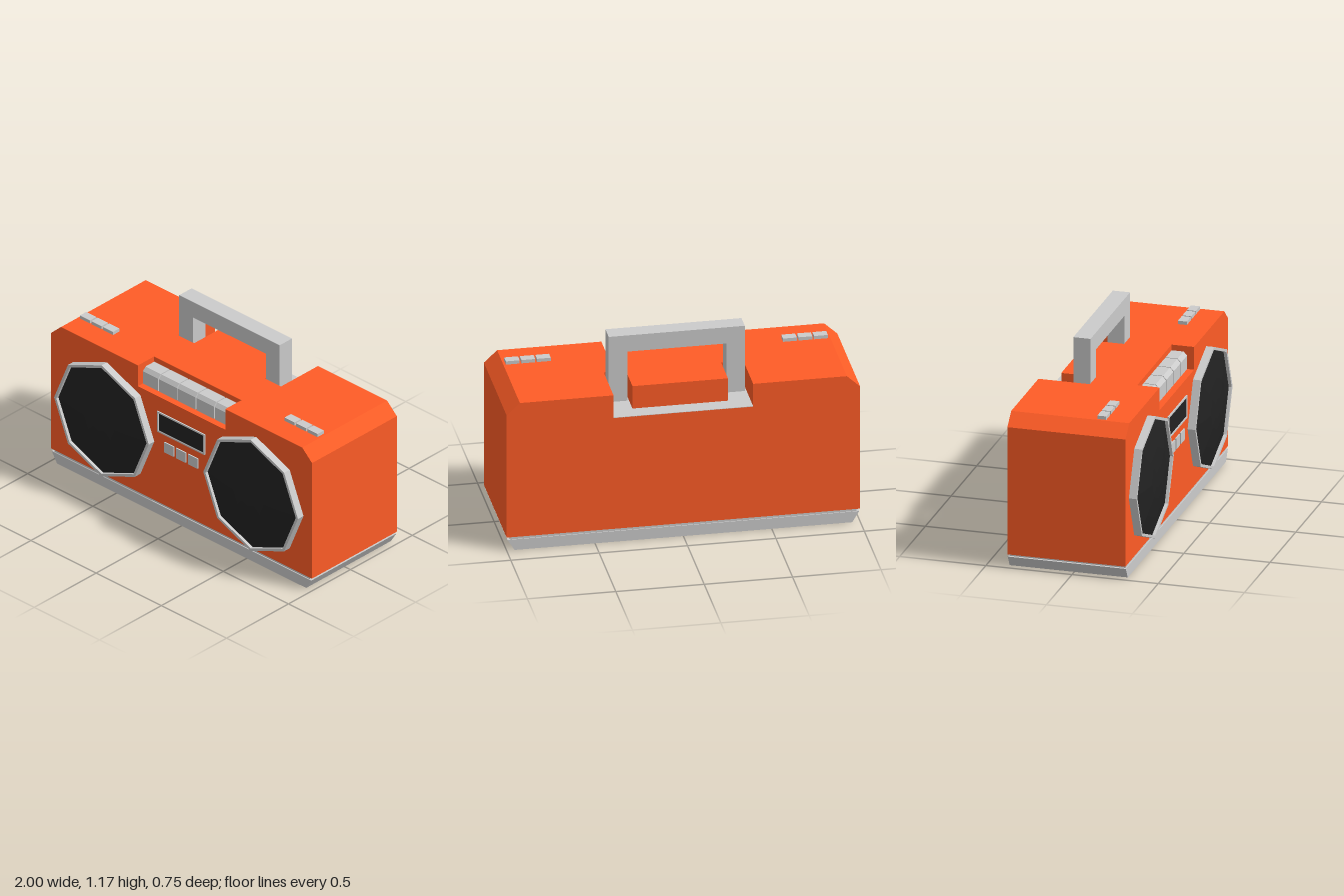
import * as THREE from 'three';

const material = (color) => new THREE.MeshStandardMaterial({ color, flatShading: true });
const orange = material(0xff5c26);
const grey = material(0xcccccc);
const dark = material(0x222222);

const TOP = 0.905, FRONT = 0.31, BACK = -0.375;
const POCKET_FLOOR = 0.765, POCKET_FRONT = -0.077, BLOCK_BACK = -0.28;

export function createModel() {
  const model = new THREE.Group();

  const add = (name, geometry, mat, parent = model) => {
    const mesh = new THREE.Mesh(geometry, mat);
    mesh.name = name;
    parent.add(mesh);
    return mesh;
  };
  const group = (name) => {
    const g = new THREE.Group();
    g.name = name;
    model.add(g);
    return g;
  };
  // Box given by its limits on each axis
  const box = (x0, x1, y0, y1, z0, z1) =>
    new THREE.BoxGeometry(x1 - x0, y1 - y0, z1 - z0)
      .translate((x0 + x1) / 2, (y0 + y1) / 2, (z0 + z1) / 2);
  // Front outline [x, y] extruded from z0 to z1
  const slab = (points, z0, z1) => {
    const shape = new THREE.Shape(points.map(([x, y]) => new THREE.Vector2(x, y)));
    return new THREE.ExtrudeGeometry(shape, { depth: z1 - z0, bevelEnabled: false }).translate(0, 0, z0);
  };
  // Outline mirrored across x = 0 from its right half, listed bottom to top
  const mirrored = (half) => [...half, ...half.map(([x, y]) => [-x, y]).reverse()];

  // Body: slices along z, each with its own cut in the top edge
  const body = group('body');
  const slice = (name, cut, z0, z1) =>
    add(name, slab(mirrored([[1, 0.08], [1, 0.835], [0.925, TOP], ...cut]), z0, z1), orange, body);
  slice('bodyRear', [[0.395, TOP], [0.395, POCKET_FLOOR]], BACK, BLOCK_BACK);
  slice('bodyHandleSlots',
    [[0.395, TOP], [0.395, POCKET_FLOOR], [0.27, POCKET_FLOOR], [0.27, TOP]], BLOCK_BACK, POCKET_FRONT);
  slice('bodyMiddle', [], POCKET_FRONT, 0.18);
  slice('bodyFront', [[0.335, TOP], [0.335, 0.77]], 0.18, FRONT);

  // Base: tapered foot with a narrow neck below the body
  add('base', slab(mirrored([[0.955, 0], [0.995, 0.065]]), BACK, FRONT), grey);
  add('baseNeck', box(-0.98, 0.98, 0.06, 0.081, BACK + 0.005, FRONT - 0.005), grey);

  // Grey floor of the handle pocket
  const floor = group('handlePocketFloor');
  const y0 = POCKET_FLOOR - 0.001, y1 = POCKET_FLOOR + 0.002;
  add('pocketFloorRear', box(-0.395, 0.395, y0, y1, BACK, BLOCK_BACK), grey, floor);
  for (const s of [-1, 1]) {
    const edges = [s * 0.27, s * 0.395].sort((a, b) => a - b);
    add('pocketFloorSide', box(...edges, y0, y1, BLOCK_BACK, POCKET_FRONT), grey, floor);
  }

  // Carrying handle
  add('handle', slab(mirrored([
    [0.28, 1.07], [0.28, POCKET_FLOOR], [0.385, POCKET_FLOOR], [0.385, 1.17],
  ]), -0.176, -0.076), grey);

  // Speakers: eight-sided rim around a shallow dark dome
  const rim = [[0.363, 0.305], [0.363, 0.355], [0.346, 0.355], [0.346, 0.32]];
  const dome = [0.347, 0.3, 0.24, 0.18, 0.12, 0.06, 0].map((r) => [r, 0.378 - 0.34 * r * r]);
  const lathe = (profile) =>
    new THREE.LatheGeometry(profile.map(([r, z]) => new THREE.Vector2(r, z)), 8).rotateX(Math.PI / 2);
  for (const [name, x] of [['leftSpeaker', 0.572], ['rightSpeaker', -0.572]]) {
    const speaker = group(name);
    speaker.position.set(x, 0.462, 0);
    add('speakerRim', lathe(rim), grey, speaker);
    add('speakerGrille', lathe(dome), dark, speaker);
  }

  // Display window with its frame
  const frame = mirrored([[0.182, 0.542], [0.182, 0.675]]);
  const frameShape = new THREE.Shape(frame.map(([x, y]) => new THREE.Vector2(x, y)));
  const opening = mirrored([[0.172, 0.552], [0.172, 0.665]]).reverse();
  frameShape.holes.push(new THREE.Path(opening.map(([x, y]) => new THREE.Vector2(x, y))));
  add('displayFrame',
    new THREE.ExtrudeGeometry(frameShape, { depth: 0.013, bevelEnabled: false }).translate(0, 0, 0.305), grey);
  add('display', box(-0.173, 0.173, 0.551, 0.666, 0.3, 0.313), dark);

  // Small buttons below the display
  for (const x of [-0.092, 0, 0.092]) {
    add('frontButton', box(x - 0.036, x + 0.036, 0.43, 0.495, 0.3, 0.318), grey);
  }

  // Tape keys: side profile with a chamfered front edge, extruded along x
  const keySide = new THREE.Shape([
    [-0.27, 0.77], [-0.18, 0.77], [-0.18, 0.872], [-0.25, 0.872], [-0.27, 0.85],
  ].map(([z, y]) => new THREE.Vector2(z, y)));
  const keys = group('tapeKeys');
  for (const [x0, x1] of [[-0.334, -0.217], [-0.21, -0.075], [-0.068, 0.068], [0.075, 0.21], [0.217, 0.334]]) {
    add('tapeKey', new THREE.ExtrudeGeometry(keySide, { depth: x1 - x0, bevelEnabled: false })
      .rotateY(Math.PI / 2).translate(x0, 0, 0), grey, keys);
  }

  // Three flat buttons on each side of the top
  for (const s of [-1, 1]) {
    for (const x of [0.696, 0.784, 0.872]) {
      add('topButton', box(s * x - 0.039, s * x + 0.039, TOP - 0.01, 0.925, 0.12, 0.172), grey);
    }
  }

  return model;
}
